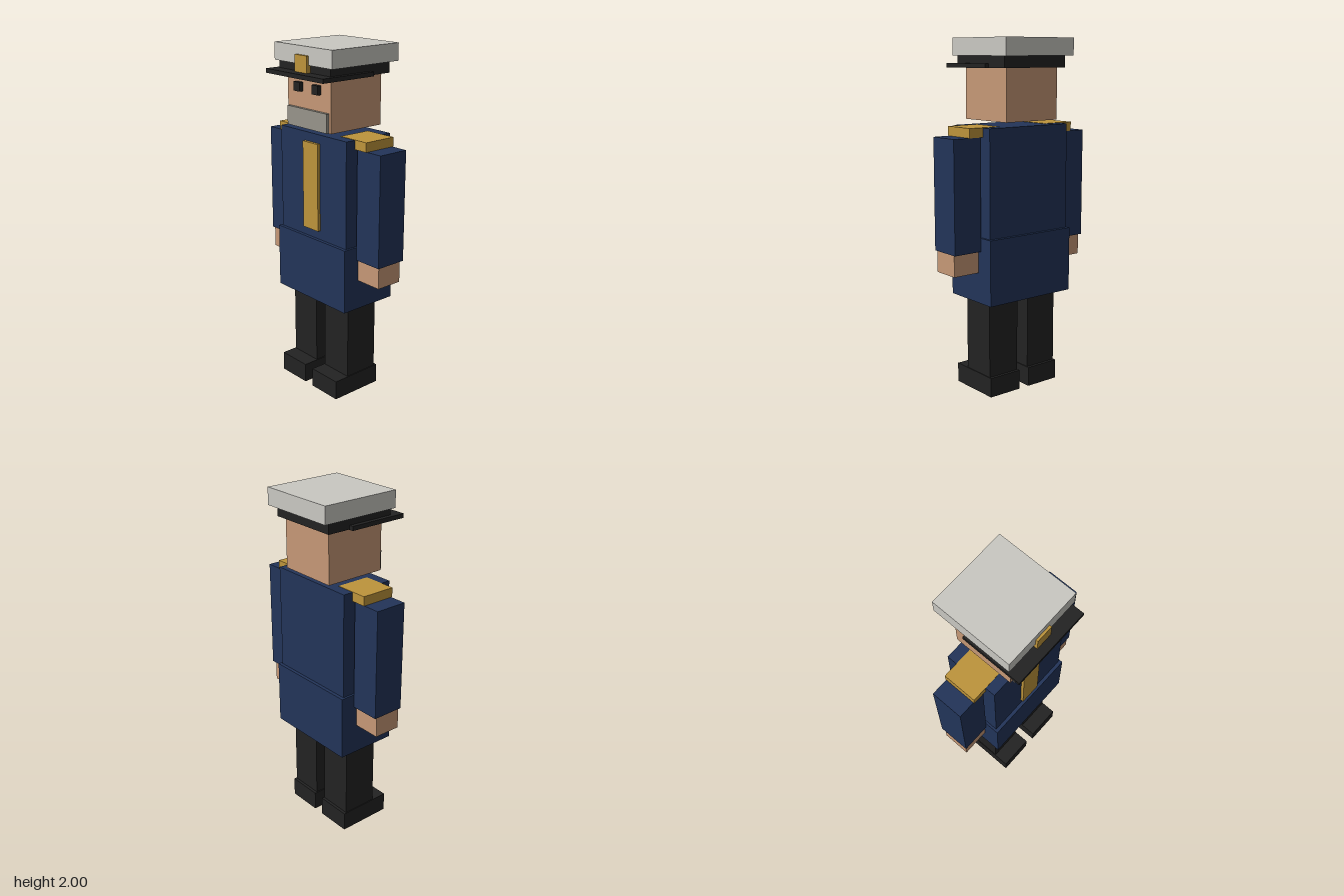
import * as THREE from 'three';

const paint = (name, color) => {
  const m = new THREE.MeshStandardMaterial({ color });
  m.name = name;
  return m;
};

export function createModel() {
  const navy = paint('navy cloth', 0x223459);
  const black = paint('black', 0x222222);
  const skin = paint('skin', 0xc69876);
  const gold = paint('gold', 0xbd943b);
  const white = paint('cap white', 0xc9c8c2);
  const grey = paint('moustache grey', 0x98948a);

  const model = new THREE.Group();
  model.name = 'officer';

  // Box given by its limits on each axis
  const box = (name, material, [x0, x1], [y0, y1], [z0, z1]) => {
    const mesh = new THREE.Mesh(new THREE.BoxGeometry(x1 - x0, y1 - y0, z1 - z0), material);
    mesh.position.set((x0 + x1) / 2, (y0 + y1) / 2, (z0 + z1) / 2);
    mesh.name = name;
    model.add(mesh);
  };
  // Box centred on x = 0
  const mid = (name, material, half, y, z) => box(name, material, [-half, half], y, z);
  // Mirrored pair of boxes, left is +x
  const pair = (name, material, [x0, x1], y, z) => {
    box('left' + name, material, [x0, x1], y, z);
    box('right' + name, material, [-x1, -x0], y, z);
  };

  // Legs and boots
  pair('Boot', black, [0.033, 0.242], [0, 0.113], [-0.14, 0.18]);
  pair('Leg', black, [0.038, 0.238], [0.113, 0.555], [-0.123, 0.087]);

  // Coat
  mid('coatSkirt', navy, 0.288, [0.555, 0.925], [-0.2, 0.16]);
  mid('coatBody', navy, 0.275, [0.925, 1.525], [-0.18, 0.14]);
  mid('coatFrontPanel', gold, 0.0625, [0.977, 1.475], [0.138, 0.158]);

  // Arms, hands and shoulder boards
  pair('Arm', navy, [0.288, 0.462], [0.85, 1.475], [-0.115, 0.073]);
  pair('Hand', skin, [0.292, 0.455], [0.728, 0.85], [-0.097, 0.063]);
  pair('ShoulderBoard', gold, [0.163, 0.362], [1.475, 1.527], [-0.12, 0.08]);

  // Head and face
  mid('head', skin, 0.179, [1.553, 1.84], [-0.2, 0.162]);
  pair('Eye', black, [0.05, 0.1], [1.75, 1.8], [0.16, 0.187]);
  mid('moustache', grey, 0.164, [1.555, 1.66], [0.16, 0.18]);

  // Peaked cap
  mid('capBand', black, 0.212, [1.84, 1.903], [-0.228, 0.193]);
  mid('capVisor', black, 0.237, [1.838, 1.862], [-0.09, 0.267]);
  mid('capTop', white, 0.237, [1.903, 2.0], [-0.27, 0.205]);
  mid('capBadge', gold, 0.05, [1.862, 1.953], [0.192, 0.218]);

  return model;
}
